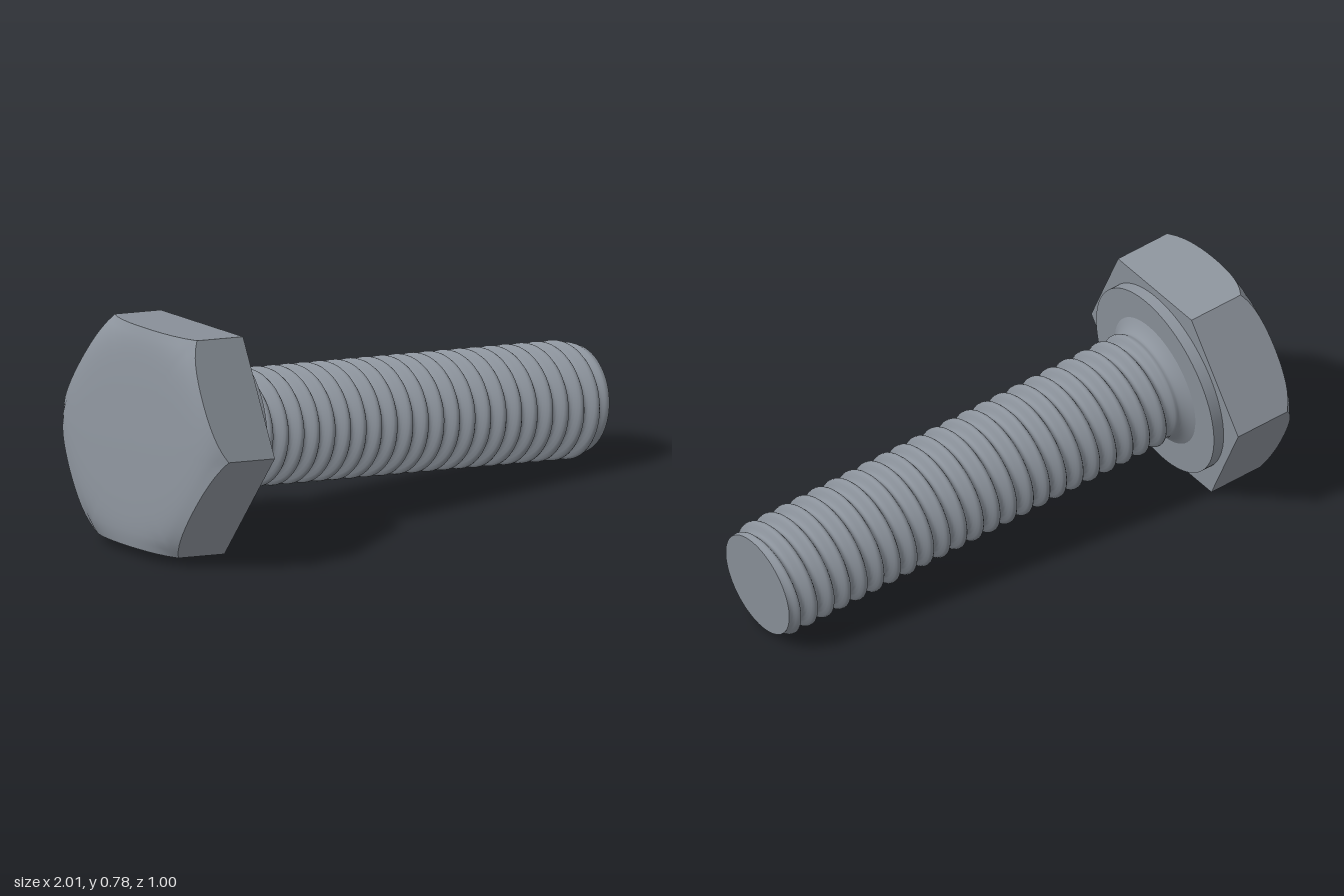
import * as THREE from 'three';

const APOTHEM = 0.375;            // hex head, centre to flat
const CORNER = APOTHEM / Math.cos(Math.PI / 6);
const WASHER = 0.04;              // washer face thickness
const END = 1.68;                 // shank end along the axis
const PITCH = 0.0685;

// Surface of rings around local X; pointAt(i, angle) gives [x, radius]
function ringSurface(rings, segments, pointAt) {
  const pos = [], index = [];
  for (let i = 0; i < rings; i++) {
    for (let j = 0; j < segments; j++) {
      const a = (j / segments) * Math.PI * 2;
      const [x, r] = pointAt(i, a);
      pos.push(x, r * Math.cos(a), r * Math.sin(a));
      if (i === rings - 1) continue;
      const p = i * segments + j, q = i * segments + (j + 1) % segments;
      index.push(p, q, p + segments, q, q + segments, p + segments);
    }
  }
  const g = new THREE.BufferGeometry();
  g.setAttribute('position', new THREE.Float32BufferAttribute(pos, 3));
  g.setIndex(index);
  g.computeVertexNormals();
  return g;
}

// Hexagon radius at an angle, flats facing +Y and -Y
function hexRadius(a) {
  const step = Math.PI / 3;
  return APOTHEM / Math.cos(a - Math.round(a / step) * step);
}

// Domed back of the head, falling away at the corners
function domeX(r) {
  const q = r / CORNER;
  return -0.268 + 0.01 * q * q + 0.055 * q ** 10;
}

// Right-handed helical thread with run-in fillet and end chamfer
function threadRadius(x, a) {
  const phase = (x - 0.025) / PITCH - a / (Math.PI * 2);
  const wave = 0.5 + 0.5 * Math.cos(phase * Math.PI * 2);
  let r = 0.169 + 0.034 * THREE.MathUtils.smoothstep(wave, -0.05, 1.05);
  r = THREE.MathUtils.lerp(0.19, r, THREE.MathUtils.smoothstep(x, 0.06, 0.12));
  const f = Math.max(0, 1 - (x - WASHER) / 0.05);
  r = Math.max(r, 0.19 + 0.045 * f * f - (f > 0 ? 0 : 1));
  r = THREE.MathUtils.lerp(r, 0.185, THREE.MathUtils.smoothstep(x, END - 0.045, END));
  return Math.min(r, 0.185 + (END - x) * 0.5);
}

export function createModel() {
  const steel = new THREE.MeshStandardMaterial({ color: 0x8c939c });
  steel.name = 'steel grey';
  const model = new THREE.Group();
  model.name = 'hexBolt';
  const add = (name, geometry, parent) => {
    const mesh = new THREE.Mesh(geometry, steel);
    mesh.name = name;
    parent.add(mesh);
    return mesh;
  };

  // Bolt axis is local X, tilted within the model
  const bolt = new THREE.Group();
  bolt.name = 'bolt';
  const axis = new THREE.Vector3(1, -0.112, 0.212).normalize();
  const side = new THREE.Vector3(-0.212, 0, 1).normalize();
  const up = new THREE.Vector3().crossVectors(side, axis);
  bolt.quaternion.setFromRotationMatrix(new THREE.Matrix4().makeBasis(axis, up, side));
  bolt.position.set(-0.68, 0.378, -0.033);
  model.add(bolt);

  const head = new THREE.Group();
  head.name = 'head';
  bolt.add(head);

  // Six flat sides with curved rear edges
  const N = 16;
  for (let k = 0; k < 6; k++) {
    const plate = new THREE.PlaneGeometry(1, 1, N, 1);
    const p = plate.attributes.position;
    for (let i = 0; i < p.count; i++) {
      const a = p.getX(i) * Math.PI / 3;
      const z = APOTHEM * Math.tan(a);
      const x = p.getY(i) > 0 ? 0 : domeX(APOTHEM / Math.cos(a));
      p.setXYZ(i, x, APOTHEM, z);
    }
    plate.computeVertexNormals();
    // keep the faces pointing outward
    if (plate.attributes.normal.getY(0) < 0) {
      const ix = plate.index.array;
      for (let i = 0; i < ix.length; i += 3) [ix[i], ix[i + 1]] = [ix[i + 1], ix[i]];
      plate.computeVertexNormals();
    }
    add('headFlat', plate.rotateX(k * Math.PI / 3), head);
  }

  // Domed back
  add('headBack', ringSurface(15, 96, (i, a) => {
    const r = hexRadius(a) * Math.max(i / 14, 0.0001);
    return [domeX(r), r];
  }).scale(1, 1, 1), head);
  const back = head.children[head.children.length - 1].geometry;
  if (back.attributes.normal.getX(0) > 0) {
    const ix = back.index.array;
    for (let i = 0; i < ix.length; i += 3) [ix[i], ix[i + 1]] = [ix[i + 1], ix[i]];
    back.computeVertexNormals();
  }

  // Flat underside with a round washer face
  const under = new THREE.CircleGeometry(CORNER, 6).rotateY(Math.PI / 2);
  add('headUnderside', under, head);
  const washer = new THREE.CylinderGeometry(0.343, 0.343, WASHER, 96).rotateZ(-Math.PI / 2);
  add('washerFace', washer, head).position.x = WASHER / 2;

  // Threaded shank
  const rings = 289;
  const shank = ringSurface(rings, 64, (i, a) => {
    const x = WASHER + (END - WASHER) * i / (rings - 1);
    return [x, threadRadius(x, a)];
  });
  if (shank.attributes.normal.getY(64 * 20) < 0) {
    const ix = shank.index.array;
    for (let i = 0; i < ix.length; i += 3) [ix[i], ix[i + 1]] = [ix[i + 1], ix[i]];
    shank.computeVertexNormals();
  }
  add('threadedShank', shank, bolt);

  // Flat tip
  const tip = new THREE.CircleGeometry(0.185, 64).rotateY(Math.PI / 2);
  add('tip', tip, bolt).position.x = END;
  return model;
}
